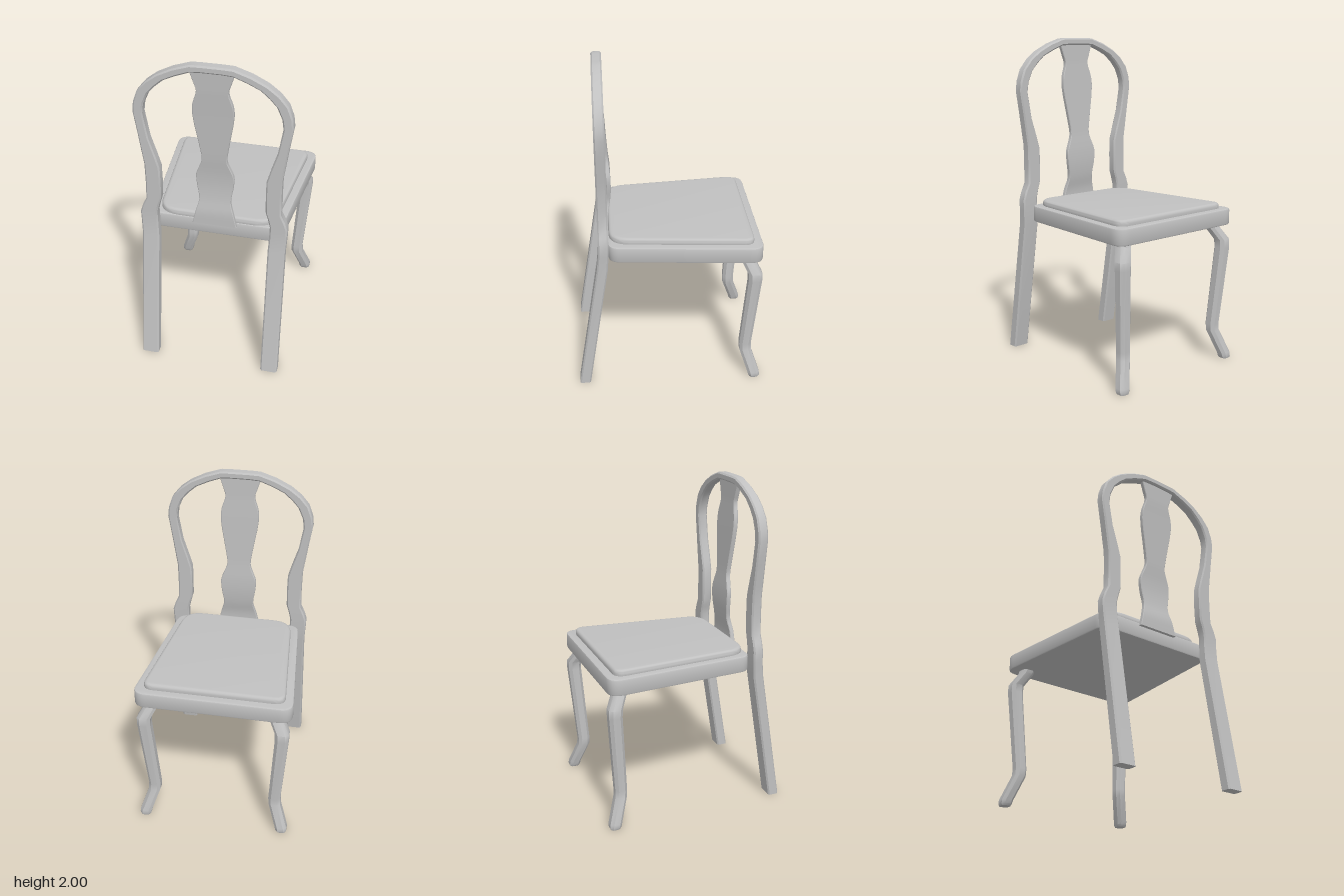
import * as THREE from 'three';
import { toCreasedNormals } from 'three/addons/utils/BufferGeometryUtils.js';

const V = (x, y, z) => new THREE.Vector3(x, y, z);

// Chamfered rectangle about c, spanned by half vectors u and v
function section(c, u, v, chamfer) {
  const a = 1 - chamfer / u.length(), b = 1 - chamfer / v.length();
  return [[1, -b], [1, b], [a, 1], [-a, 1], [-1, b], [-1, -b], [-a, -1], [a, -1]]
    .map(([s, t]) => c.clone().addScaledVector(u, s).addScaledVector(v, t));
}

// Skin a row of sections and cap both ends
function loft(rings, crease = 0.5) {
  const n = rings[0].length, pos = [], idx = [];
  rings.forEach(r => r.forEach(p => pos.push(p.x, p.y, p.z)));
  for (let i = 0; i < rings.length - 1; i++) {
    for (let j = 0; j < n; j++) {
      const a = i * n + j, b = i * n + (j + 1) % n;
      idx.push(a, b, b + n, a, b + n, a + n);
    }
  }
  const e = (rings.length - 1) * n;
  for (let j = 1; j < n - 1; j++) idx.push(0, j + 1, j, e, e + j, e + j + 1);
  const g = new THREE.BufferGeometry();
  g.setAttribute('position', new THREE.Float32BufferAttribute(pos, 3));
  g.setIndex(idx);
  return toCreasedNormals(g, crease);
}

// Trapezoid slab with rounded corners and bevelled edges, top at y = top
function slab(wBack, zBack, wFront, zFront, rBack, rFront, top, height, bevel, segments) {
  const pts = [[-wBack, zBack, rBack], [wBack, zBack, rBack], [wFront, zFront, rFront], [-wFront, zFront, rFront]];
  const shape = new THREE.Shape();
  pts.forEach(([x, z, r], i) => {
    const p = new THREE.Vector2(x, z);
    const toward = k => {
      const q = pts[(i + k) % 4];
      return new THREE.Vector2(q[0], q[1]).sub(p).setLength(r).add(p);
    };
    const a = toward(3), b = toward(1);
    if (i === 0) shape.moveTo(a.x, a.y); else shape.lineTo(a.x, a.y);
    shape.quadraticCurveTo(p.x, p.y, b.x, b.y);
  });
  shape.closePath();
  const g = new THREE.ExtrudeGeometry(shape, {
    depth: height - 2 * bevel, bevelSize: bevel, bevelThickness: bevel,
    bevelOffset: -bevel, bevelSegments: segments, curveSegments: 8,
  });
  g.rotateX(Math.PI / 2).translate(0, top - bevel, 0);
  return toCreasedNormals(g, 0.6);
}

export function createModel() {
  const group = new THREE.Group();
  const grey = new THREE.MeshStandardMaterial({ color: 0xc0c0c0 });
  grey.name = 'plain grey';
  const add = (name, geometry) => {
    const mesh = new THREE.Mesh(geometry, grey);
    mesh.name = name;
    group.add(mesh);
  };

  // Seat frame and padded cushion
  add('seatFrame', slab(0.482, -0.56, 0.4, 0.365, 0.085, 0.07, 0.965, 0.1, 0.01, 2));
  add('cushion', slab(0.43, -0.51, 0.352, 0.358, 0.07, 0.12, 1.0, 0.06, 0.02, 4));

  // Raked legs and hooped back in one sweep: outer x, y, inner x, y, z, half depth
  const half = [
    [0.44, 0, 0.335, 0, 0.537, 0.034],
    [0.438, 0.84, 0.335, 0.84, 0.402, 0.033],
    [0.443, 0.93, 0.34, 0.93, 0.395, 0.031],
    [0.446, 1.0, 0.342, 1.01, 0.393, 0.031],
    [0.43, 1.05, 0.33, 1.06, 0.393, 0.031],
    [0.406, 1.1, 0.315, 1.11, 0.393, 0.031],
    [0.404, 1.22, 0.313, 1.22, 0.393, 0.031],
    [0.406, 1.34, 0.315, 1.32, 0.393, 0.031],
    [0.418, 1.42, 0.335, 1.39, 0.393, 0.031],
    [0.435, 1.54, 0.373, 1.51, 0.393, 0.031],
    [0.457, 1.68, 0.4, 1.67, 0.393, 0.031],
    [0.45, 1.74, 0.392, 1.73, 0.393, 0.031],
    [0.425, 1.81, 0.362, 1.8, 0.393, 0.031],
    [0.375, 1.87, 0.322, 1.845, 0.393, 0.031],
    [0.31, 1.92, 0.27, 1.89, 0.393, 0.031],
    [0.22, 1.965, 0.195, 1.925, 0.393, 0.031],
    [0.12, 1.998, 0.12, 1.953, 0.393, 0.031],
    [0.06, 2.0, 0.06, 1.957, 0.393, 0.031],
  ];
  const mirrored = half.map(([a, b, c, d, z, h]) => [-a, b, -c, d, z, h]).reverse();
  add('backFrame', loft([...half, ...mirrored].map(([xo, yo, xi, yi, z, h]) =>
    section(V((xo + xi) / 2, (yo + yi) / 2, z), V((xo - xi) / 2, (yo - yi) / 2, 0), V(0, 0, -h), 0.009))));

  // Shaped central splat, bowed toward the seat: half width, y, z
  const splat = new THREE.CatmullRomCurve3([
    [0.135, 0.945, 0.372], [0.115, 1.03, 0.37], [0.095, 1.11, 0.355], [0.108, 1.2, 0.347],
    [0.112, 1.28, 0.348], [0.09, 1.34, 0.353], [0.074, 1.39, 0.358], [0.085, 1.48, 0.364],
    [0.119, 1.69, 0.377], [0.114, 1.76, 0.382], [0.091, 1.84, 0.388], [0.105, 1.89, 0.39], [0.13, 1.965, 0.393],
  ].map(p => V(...p)));
  add('backSplat', loft(splat.getPoints(36).map(p =>
    section(V(0, p.y, p.z), V(p.x, 0, 0), V(0, 0, -0.014), 0.004))));

  // Curved legs at the seat's far corners: y, x, z, half width, chamfer
  const leg = [
    [0, 0.44, -0.54, 0.029, 0.012],
    [0.012, 0.439, -0.538, 0.035, 0.016],
    [0.035, 0.436, -0.534, 0.037, 0.018],
    [0.18, 0.386, -0.484, 0.037, 0.018],
    [0.225, 0.384, -0.482, 0.037, 0.018],
    [0.72, 0.42, -0.518, 0.041, 0.019],
    [0.77, 0.419, -0.516, 0.042, 0.019],
    [0.845, 0.377, -0.475, 0.041, 0.019],
    [0.89, 0.368, -0.466, 0.042, 0.019],
  ];
  for (const s of [1, -1]) {
    add(s > 0 ? 'curvedLegLeft' : 'curvedLegRight', loft(leg.map(([y, x, z, w, k]) =>
      section(V(s * x, y, z), V(w, 0, 0), V(0, 0, -w), k)), 0.7));
  }
  return group;
}
